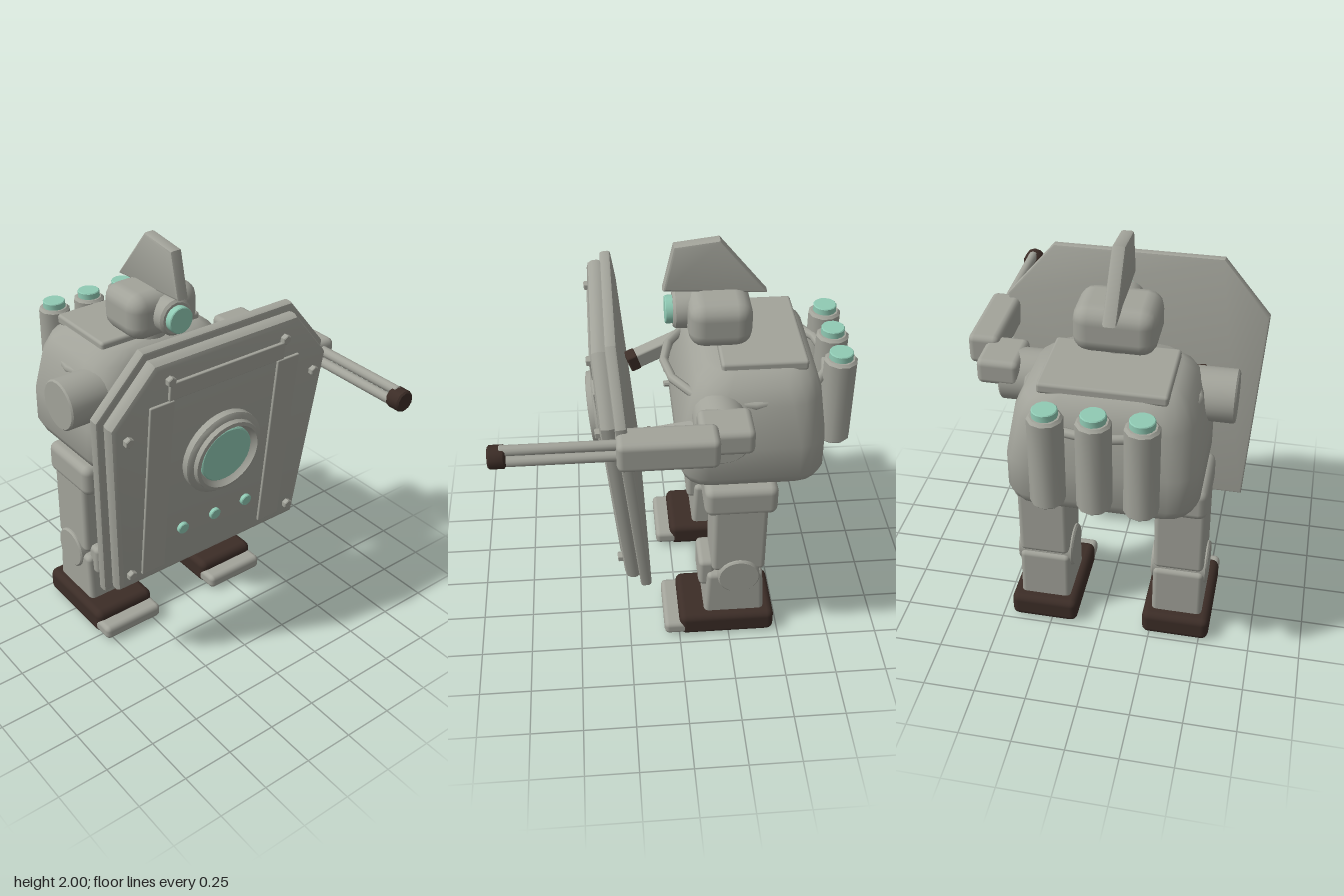
import * as THREE from 'three';
import { toCreasedNormals } from 'three/addons/utils/BufferGeometryUtils.js';
import { RoundedBoxGeometry } from 'three/addons/geometries/RoundedBoxGeometry.js';

const CX = -0.045; // the body's centre line

export function createModel() {
  const model = new THREE.Group();
  model.name = 'shieldRobot';
  const paint = (name, color) => {
    const m = new THREE.MeshStandardMaterial({ color });
    m.name = name;
    return m;
  };
  const grey = paint('armourGrey', 0xa2a39a);
  const mint = paint('mintGlass', 0x90cab4);
  const dark = paint('darkBrown', 0x3c2d27);

  const add = (parent, name, geo, mat, x = 0, y = 0, z = 0) => {
    const mesh = new THREE.Mesh(geo, mat);
    mesh.name = name;
    mesh.position.set(x, y, z);
    parent.add(mesh);
    return mesh;
  };
  // Soft-edged box given by its limits on each axis
  const box = (parent, name, mat, [x0, x1], [y0, y1], [z0, z1], r = 0.025) =>
    add(parent, name, new RoundedBoxGeometry(x1 - x0, y1 - y0, z1 - z0, 2, r), mat,
      (x0 + x1) / 2, (y0 + y1) / 2, (z0 + z1) / 2);
  // Cylinder lying along an axis, with small bevels on both ends
  const rod = (parent, name, mat, axis, r, len, sides, x, y, z, bevel = 0.008) => {
    const h = len / 2;
    const pts = [[0, -h], [r - bevel, -h], [r, bevel - h], [r, h - bevel], [r - bevel, h], [0, h]];
    const geo = new THREE.LatheGeometry(pts.map(p => new THREE.Vector2(...p)), sides);
    if (axis === 'x') geo.rotateZ(-Math.PI / 2);
    if (axis === 'z') geo.rotateX(Math.PI / 2);
    return add(parent, name, toCreasedNormals(geo, 0.68), mat, x, y, z);
  };
  // Bevelled plate from an outline, with its total thickness running from z = 0
  const plate = (outline, thick, bevel) => {
    const shape = new THREE.Shape(outline.map(p => new THREE.Vector2(...p)));
    const geo = new THREE.ExtrudeGeometry(shape, {
      depth: thick - 2 * bevel, bevelThickness: bevel, bevelSize: bevel,
      bevelOffset: -bevel, bevelSegments: 2,
    });
    return toCreasedNormals(geo.translate(0, 0, bevel), 0.5);
  };

  // Torso: rounded rectangles [y, half width, front z, back z, corner radius]
  const rows = [
    [0.885, 0.36, -0.07, -0.62, 0.1], [0.93, 0.41, -0.025, -0.67, 0.12],
    [0.98, 0.435, -0.008, -0.69, 0.13], [1.15, 0.435, 0, -0.688, 0.13],
    [1.36, 0.4, -0.05, -0.665, 0.15], [1.44, 0.36, -0.085, -0.64, 0.15],
    [1.49, 0.3, -0.13, -0.59, 0.13],
  ];
  const N = 20, verts = [], index = [];
  for (const [y, w, f, b, r] of rows) {
    for (let i = 0; i < N; i++) {
      const q = Math.floor(i / 5), a = (q + (i % 5) / 4) * Math.PI / 2;
      const sx = q === 0 || q === 3 ? 1 : -1;
      verts.push(sx * (w - r) + r * Math.cos(a), y,
        (q < 2 ? f - r : b + r) + r * Math.sin(a));
    }
  }
  for (let j = 0; j < rows.length - 1; j++) {
    for (let i = 0; i < N; i++) {
      const a = j * N + i, b = j * N + (i + 1) % N;
      index.push(a, a + N, b, b, a + N, b + N);
    }
  }
  const last = (rows.length - 1) * N;
  for (let i = 1; i < N - 1; i++) index.push(0, i, i + 1, last, last + i + 1, last + i);
  const torso = new THREE.BufferGeometry();
  torso.setAttribute('position', new THREE.Float32BufferAttribute(verts, 3));
  torso.setIndex(index);
  add(model, 'torso', toCreasedNormals(torso, 0.85), grey, CX);
  box(model, 'topHatch', grey, [-0.33, 0.24], [1.47, 1.522], [-0.595, -0.2], 0.015);
  box(model, 'pelvis', grey, [-0.505, 0.415], [0.76, 0.925], [-0.47, -0.12], 0.04);
  const belt = new THREE.TorusGeometry(0.385, 0.022, 8, 16).rotateX(Math.PI / 2);
  add(model, 'chestRing', belt, grey, CX, 1.365, -0.345);
  for (const x of [-0.325, 0.24]) {
    for (const y of [1.03, 1.12]) rod(model, 'chestStud', grey, 'z', 0.016, 0.04, 8, x, y, 0.003, 0.004);
  }

  // Head, eye and crest
  rod(model, 'neck', grey, 'y', 0.08, 0.12, 16, CX, 1.51, -0.22);
  box(model, 'head', grey, [-0.235, 0.145], [1.528, 1.755], [-0.355, -0.062], 0.075);
  rod(model, 'eyeHousing', grey, 'z', 0.09, 0.1, 16, CX, 1.647, -0.05, 0.012);
  rod(model, 'eyeLens', mint, 'z', 0.065, 0.06, 20, CX, 1.647, 0.005, 0.004);
  const crest = plate([[-0.045, 1.755], [0.43, 1.73], [0.21, 2], [0.005, 1.975]], 0.062, 0.012);
  crest.rotateY(Math.PI / 2);
  add(model, 'headCrest', crest, grey, CX - 0.031);

  // Legs
  for (const s of [-1, 1]) {
    const leg = new THREE.Group();
    leg.name = s < 0 ? 'rightLeg' : 'leftLeg';
    leg.position.x = CX + s * 0.333;
    model.add(leg);
    box(leg, 'foot', dark, [-0.167, 0.167], [0, 0.13], [-0.48, 0], 0.035);
    box(leg, 'toe', grey, [-0.165, 0.165], [0.012, 0.085], [-0.05, 0.076], 0.025);
    const shin = box(leg, 'shin', grey, [-0.125, 0.125], [0.1, 0.38], [-0.43, -0.125]);
    const p = shin.geometry.attributes.position;
    for (let i = 0; i < p.count; i++) p.setZ(i, p.getZ(i) * (0.95 - 0.35 * p.getY(i)));
    rod(leg, 'knee', grey, 'x', 0.105, 0.275, 24, 0, 0.368, -0.295);
    box(leg, 'kneeGuard', grey, [-0.098, 0.098], [0.285, 0.445], [-0.18, -0.098]);
    box(leg, 'thigh', grey, [-0.122, 0.122], [0.4, 0.82], [-0.425, -0.16]);
  }

  // Shoulders and the struts that hold the shield
  for (const s of [-1, 1]) {
    const side = s < 0 ? 'right' : 'left';
    rod(model, side + 'Shoulder', grey, 'x', 0.125, 0.21, 24, CX + s * 0.44, 1.29, -0.187);
    const from = new THREE.Vector3(CX + s * 0.405, 1.27, -0.18);
    const to = new THREE.Vector3(CX + s * 0.32, 1.145, 0.2);
    const strut = new THREE.Group();
    strut.name = side + 'ShieldStrut';
    strut.position.copy(from);
    strut.lookAt(to);
    model.add(strut);
    const len = from.distanceTo(to);
    box(strut, 'strut', grey, [-0.037, 0.037], [-0.04, 0.04], [0, len - 0.03], 0.01);
    const grip = s < 0 ? 0.055 : 0.09;
    box(strut, 'strutGrip', dark, [-0.04, 0.04], [-0.043, 0.043], [len - grip, len], 0.01);
  }

  // Gun arm
  box(model, 'upperArm', grey, [0.4, 0.6], [1.288, 1.415], [-0.312, -0.07], 0.03);
  box(model, 'forearm', grey, [0.535, 0.685], [1.29, 1.44], [-0.152, 0.29], 0.03);
  for (const y of [1.335, 1.395]) rod(model, 'gunBarrel', grey, 'z', 0.024, 0.54, 12, 0.61, y, 0.51, 0.004);
  rod(model, 'gunMuzzle', dark, 'z', 0.052, 0.076, 10, 0.61, 1.363, 0.792);

  // Back canisters
  for (const dx of [-0.205, 0, 0.205]) {
    rod(model, 'canister', grey, 'y', 0.078, 0.45, 10, CX + dx, 1.255, -0.755, 0.012);
    rod(model, 'canisterCap', mint, 'y', 0.056, 0.05, 14, CX + dx, 1.488, -0.755, 0.004);
  }

  // Shield, leaning forward at the top
  const shield = new THREE.Group();
  shield.name = 'shield';
  shield.position.set(CX, 1.1, 0.205);
  shield.rotation.x = 0.098;
  model.add(shield);
  const outline = (top, mid, low, yTop, yMid, yLow) =>
    [[-low, yLow], [low, yLow], [mid, yMid], [top, yTop], [-top, yTop], [-mid, yMid]];
  add(shield, 'shieldSlab', plate(outline(0.41, 0.642, 0.575, 0.637, 0.365, -0.64), 0.052, 0.012), grey);
  add(shield, 'shieldFace', plate(outline(0.395, 0.61, 0.54, 0.605, 0.35, -0.61), 0.08, 0.028), grey, 0, 0, 0.04);
  for (const s of [-1, 1]) {
    const x = s * 0.355;
    box(shield, 'sidePanel', grey, [x - 0.064, x + 0.064], [-0.55, 0.407], [0.1, 0.133], 0.005);
    for (const [bx, by] of [[0.32, 0.515], [0.527, 0.277], [0.48, -0.52]]) {
      rod(shield, 'shieldBolt', grey, 'z', 0.024, 0.04, 6, s * bx, by, 0.125, 0.004);
    }
  }
  box(shield, 'topPanel', grey, [-0.322, 0.322], [0.412, 0.5], [0.1, 0.135], 0.005);
  for (const x of [-0.191, 0, 0.191]) rod(shield, 'shieldLight', mint, 'z', 0.03, 0.035, 16, x, -0.365, 0.122, 0.004);

  // Round port with a stepped rim
  const rim = [[0.215, 0.11], [0.215, 0.152], [0.205, 0.16], [0.186, 0.165],
    [0.182, 0.188], [0.165, 0.192], [0.155, 0.17], [0.145, 0.16], [0.142, 0.11]];
  const rimGeo = new THREE.LatheGeometry(rim.map(p => new THREE.Vector2(...p)), 32).rotateX(Math.PI / 2);
  add(shield, 'portRim', toCreasedNormals(rimGeo, 0.5), grey, 0, 0.02);
  rod(shield, 'portGlass', mint, 'z', 0.143, 0.06, 32, 0, 0.02, 0.143, 0.006);

  return model;
}
